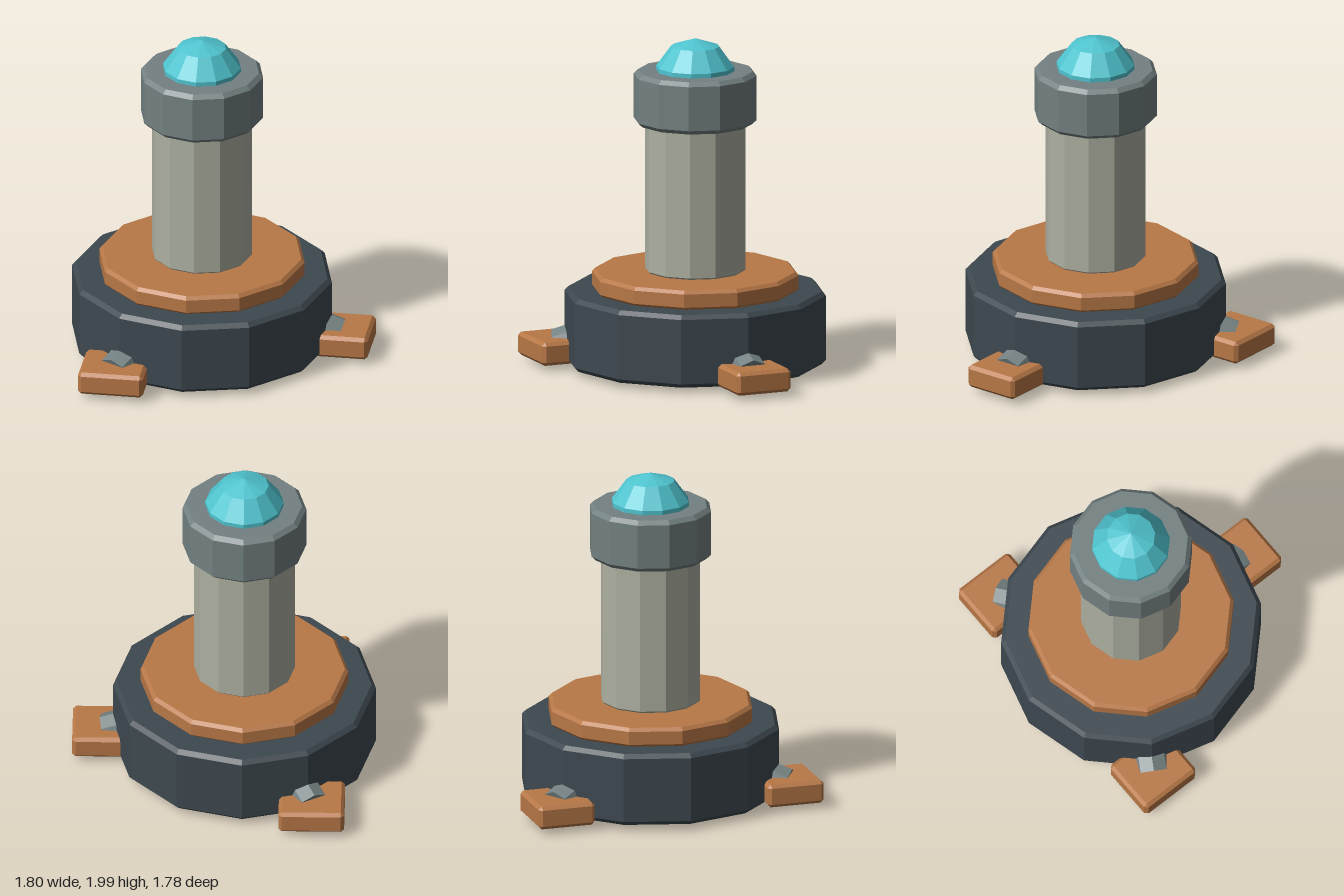
import * as THREE from 'three';
import { ConvexGeometry } from 'three/addons/geometries/ConvexGeometry.js';

const AXIS_X = -0.122; // the round body stands off-centre because of the single right-hand foot

const material = (name, color) => {
  const m = new THREE.MeshStandardMaterial({ color });
  m.name = name;
  return m;
};

// Faceted normals
function flat(geometry) {
  const g = geometry.index ? geometry.toNonIndexed() : geometry;
  g.computeVertexNormals();
  return g;
}

function add(parent, name, geometry, mat) {
  const mesh = new THREE.Mesh(geometry, mat);
  mesh.name = name;
  parent.add(mesh);
  return mesh;
}

// Closed drum with chamfered rims
function drum(radius, y0, y1, bevel, sides = 12) {
  const profile = [
    [0, y0], [radius - bevel, y0], [radius, y0 + bevel],
    [radius, y1 - bevel], [radius - bevel, y1], [0, y1],
  ].map(([r, y]) => new THREE.Vector2(r, y));
  return flat(new THREE.LatheGeometry(profile, sides));
}

// Box with every edge chamfered
function chamferBox(w, h, d, c) {
  const points = [];
  for (const x of [-1, 1]) for (const y of [-1, 1]) for (const z of [-1, 1]) {
    for (let a = 0; a < 3; a++) {
      points.push(new THREE.Vector3(
        x * (w / 2 - (a === 0 ? 0 : c)),
        y * (h / 2 - (a === 1 ? 0 : c)),
        z * (d / 2 - (a === 2 ? 0 : c)),
      ));
    }
  }
  return new ConvexGeometry(points);
}

export function createModel() {
  const dark = material('dark steel', 0x3d484f);
  const copper = material('copper', 0xb87847);
  const stone = material('pale stone', 0xacafa0);
  const grey = material('grey metal', 0x738081);
  const cyan = material('cyan glass', 0x4fc4cf);

  const model = new THREE.Group();
  model.name = 'beaconPost';
  const body = new THREE.Group();
  body.name = 'body';
  body.position.x = AXIS_X;
  model.add(body);

  // Stacked round parts
  add(body, 'base', drum(0.78, 0.04, 0.48, 0.025), dark);
  add(body, 'basePlate', drum(0.617, 0.475, 0.595, 0.02), copper);
  add(body, 'column', drum(0.3, 0.59, 1.495, 0.015), stone);
  add(body, 'collar', drum(0.367, 1.488, 1.805, 0.025), grey);

  // Domed lamp, sunk into the collar
  const lamp = add(body, 'lamp', flat(new THREE.SphereGeometry(0.245, 12, 5)), cyan);
  lamp.position.y = 1.755;

  // Three feet, each with a tilted bolt driven into the base
  const footGeometry = chamferBox(0.39, 0.14, 0.35, 0.02);
  const boltGeometry = flat(new THREE.CylinderGeometry(0.11, 0.11, 0.2, 8));
  const tilt = THREE.MathUtils.degToRad(20);
  for (let i = 0; i < 3; i++) {
    const angle = (i * Math.PI * 2) / 3;

    const foot = add(body, 'foot', footGeometry, copper);
    foot.position.set(Math.cos(angle) * 0.825, 0.11, -Math.sin(angle) * 0.825);

    const mount = new THREE.Group();
    mount.name = 'boltMount';
    mount.rotation.y = angle;
    body.add(mount);
    const bolt = add(mount, 'bolt', boltGeometry, grey);
    bolt.rotation.z = -Math.PI / 2 - tilt;
    bolt.position.set(0.822 - 0.1 * Math.cos(tilt), 0.11 + 0.1 * Math.sin(tilt), 0);
  }
  return model;
}
